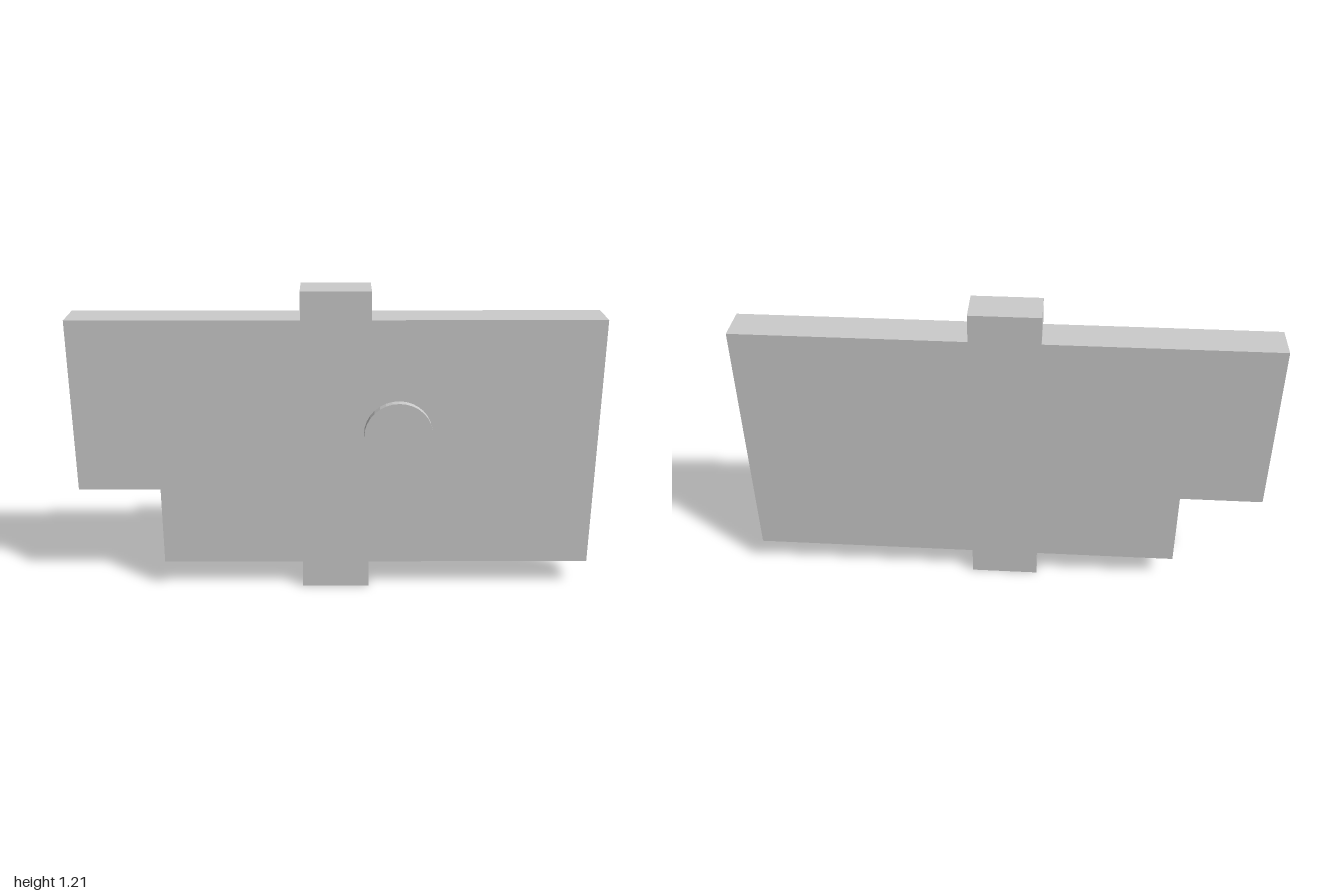
import * as THREE from 'three';

export function createModel() {
  const group = new THREE.Group();
  const material = new THREE.MeshStandardMaterial({ color: 0xcccccc, flatShading: true });
  const back = -0.088, front = 0.057, discFront = 0.088;

  // Flat plate with a tab above and below and a notch in its lower right corner
  const outline = [
    [-1, 0.425], [-0.683, 0.425], [-0.683, 0.109], [-0.133, 0.109],
    [-0.133, 0], [0.13, 0], [0.13, 0.109], [1, 0.109],
    [1, 1.1], [0.13, 1.1], [0.13, 1.207], [-0.133, 1.207],
    [-0.133, 1.1], [-1, 1.1],
  ].map(([x, y]) => new THREE.Vector2(x, y));
  const plate = new THREE.Mesh(
    new THREE.ExtrudeGeometry(new THREE.Shape(outline), { depth: front - back, bevelEnabled: false }),
    material,
  );
  plate.name = 'plate';
  plate.position.z = back;
  group.add(plate);

  // Raised round button on the front face
  const button = new THREE.Mesh(
    new THREE.CylinderGeometry(0.131, 0.131, discFront - front, 32).rotateX(Math.PI / 2),
    material,
  );
  button.name = 'button';
  button.position.set(0.237, 0.655, (front + discFront) / 2);
  group.add(button);

  return group;
}
